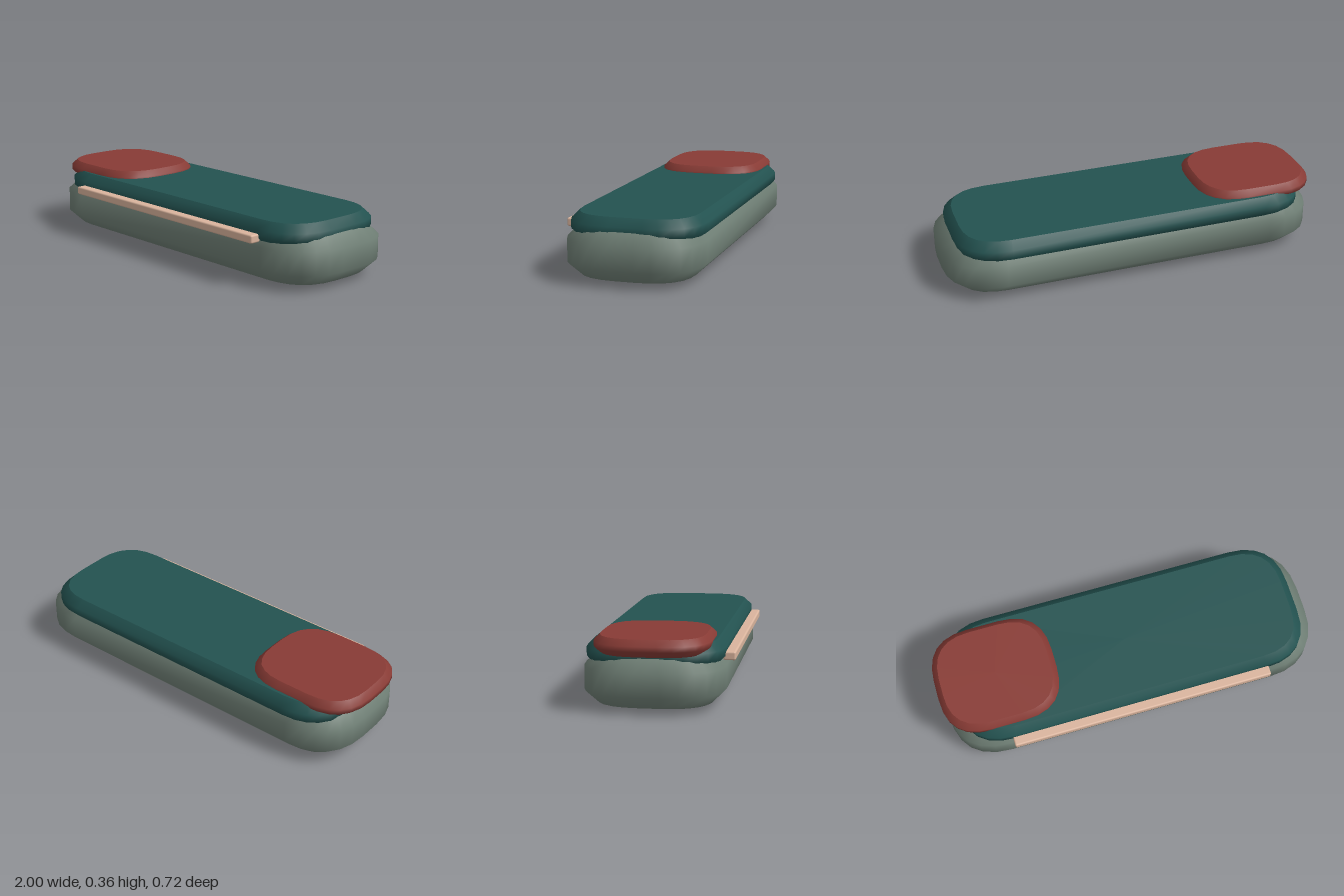
import * as THREE from 'three';
import { RoundedBoxGeometry } from 'three/addons/geometries/RoundedBoxGeometry.js';

const STEPS = 6; // segments per rounded corner

// Outline of a rectangle with softly curved corners, running counter-clockwise in x/z.
function outline(halfX, halfZ, r) {
  const points = [];
  const corners = [[1, 1], [-1, 1], [-1, -1], [1, -1]];
  corners.forEach(([sx, sz], i) => {
    const alongX = new THREE.Vector2(sx * (halfX - r), sz * halfZ);
    const alongZ = new THREE.Vector2(sx * halfX, sz * (halfZ - r));
    const [a, b] = i % 2 ? [alongX, alongZ] : [alongZ, alongX];
    const curve = new THREE.QuadraticBezierCurve(a, new THREE.Vector2(sx * halfX, sz * halfZ), b);
    points.push(...curve.getPoints(STEPS));
  });
  return points;
}

// Slab with chamfered rims: smooth sides, flat caps.
function slab(halfX, halfZ, r, y0, y1, bevel) {
  const levels = [[y0, bevel], [y0 + bevel, 0], [y1 - bevel, 0], [y1, bevel]];
  const rings = levels.map(([y, inset]) =>
    outline(halfX - inset, halfZ - inset, r - inset * 0.8).map(p => [p.x, y, p.y]));
  const n = rings[0].length;
  const positions = rings.flat(2);
  const index = [];
  for (let k = 0; k < 3; k++) {
    for (let i = 0; i < n; i++) {
      const a = k * n + i, b = k * n + (i + 1) % n;
      index.push(a, a + n, b, b, a + n, b + n);
    }
  }
  // Caps use their own vertices so the rim stays crisp
  [[rings[0], false], [rings[3], true]].forEach(([ring, top]) => {
    const start = positions.length / 3;
    positions.push(...ring.flat(), 0, ring[0][1], 0);
    for (let i = 0; i < n; i++) {
      const a = start + i, b = start + (i + 1) % n;
      if (top) index.push(start + n, b, a);
      else index.push(start + n, a, b);
    }
  });
  const geometry = new THREE.BufferGeometry();
  geometry.setAttribute('position', new THREE.Float32BufferAttribute(positions, 3));
  geometry.setIndex(index);
  geometry.computeVertexNormals();
  return geometry;
}

function material(name, color) {
  const m = new THREE.MeshStandardMaterial({ color });
  m.name = name;
  return m;
}

export function createModel() {
  const model = new THREE.Group();
  const grey = material('sage grey', 0x708076);
  const teal = material('dark teal', 0x235250);
  const red = material('brick red', 0x883b35);
  const peach = material('pale peach', 0xdab49d);

  const add = (name, geometry, mat, x, y, z) => {
    const mesh = new THREE.Mesh(geometry, mat);
    mesh.name = name;
    mesh.position.set(x, y, z);
    model.add(mesh);
    return mesh;
  };

  // Stacked body
  add('case', slab(0.99, 0.341, 0.28, 0.025, 0.26, 0.06), grey, 0.01, 0, -0.019);
  add('lid', slab(0.93, 0.335, 0.25, 0.2, 0.322, 0.04), teal, 0.01, 0, -0.02);
  add('endPad', slab(0.315, 0.281, 0.23, 0.275, 0.358, 0.029), red, -0.685, 0, -0.02);

  // Front bar
  add('frontBar', new RoundedBoxGeometry(1.385, 0.042, 0.06, 3, 0.009), peach, 0.008, 0.239, 0.332);

  // Small tilted feet poking through the base
  const footGeometry = new THREE.CylinderGeometry(0.035, 0.035, 0.12, 8, 1, false, Math.PI / 8);
  for (const [name, x] of [['rightFoot', -0.775], ['leftFoot', 0.79]]) {
    add(name, footGeometry, grey, x, 0.051, 0.041).rotation.x = 1.235;
  }
  return model;
}
